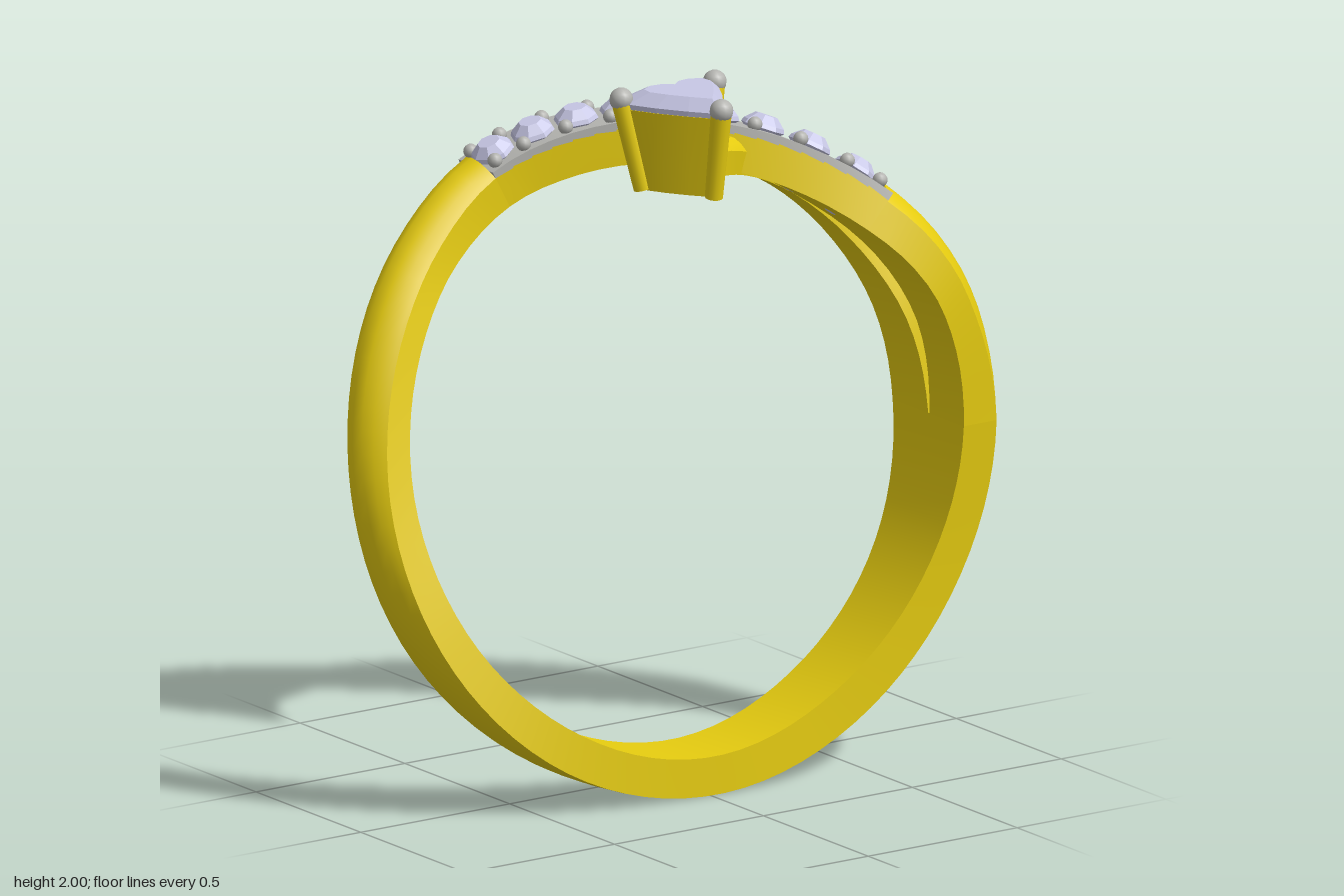
import * as THREE from 'three';
import { toCreasedNormals } from 'three/addons/utils/BufferGeometryUtils.js';

const gold = new THREE.MeshStandardMaterial({ color: 0xe6cc10 });
const silver = new THREE.MeshStandardMaterial({ color: 0xb4b4b0 });
const stone = new THREE.MeshStandardMaterial({ color: 0xc8c8e6, flatShading: true });
const CY = 0.94; // height of the ring's centre
const rad = THREE.MathUtils.degToRad;

// Stations: [angle, back z, front z, inner radius, outer radius, dome height]
const MAIN = [
  [0, 0.155, 0.32, 0.8, 0.94, 0.03], [20, 0.165, 0.33, 0.8, 0.94, 0.05],
  [30, 0.14, 0.325, 0.8, 0.94, 0.05], [40, 0.105, 0.295, 0.795, 0.94, 0.05],
  [48, 0.07, 0.25, 0.79, 0.937, 0.05], [65, -0.08, 0.105, 0.79, 0.94, 0.05],
  [78, -0.165, 0.02, 0.79, 0.94, 0.05], [90, -0.235, -0.07, 0.79, 0.94, 0.05],
  [105, -0.31, -0.145, 0.79, 0.94, 0.05], [118, -0.345, -0.18, 0.795, 0.945, 0.05],
  [135, -0.335, -0.165, 0.8, 0.94, 0.06], [150, -0.3, -0.12, 0.805, 0.94, 0.06],
  [180, -0.2, -0.02, 0.81, 0.94, 0.05], [210, -0.11, 0.1, 0.815, 0.94, 0.03],
  [240, -0.01, 0.205, 0.82, 0.94, 0.01], [270, 0.04, 0.25, 0.83, 0.94, 0],
  [300, 0.035, 0.255, 0.82, 0.94, 0], [330, 0.02, 0.28, 0.81, 0.94, 0.015],
  [360, -0.02, 0.32, 0.8, 0.94, 0.03],
];
const REAR = [
  [0, -0.02, 0.15, 0.8, 0.94, 0.03], [20, -0.05, 0.11, 0.8, 0.935, 0.05],
  [40, -0.1, 0.03, 0.795, 0.93, 0.05], [55, -0.115, 0, 0.79, 0.91, 0.04],
  [68, -0.09, 0.03, 0.785, 0.89, 0.04], [80, 0, 0.11, 0.785, 0.885, 0.03],
  [86, 0.05, 0.15, 0.785, 0.88, 0.03],
];

// Smooth interpolation between stations
function sample(table, a) {
  const last = table.length - 1;
  let k = 0;
  while (k < last - 1 && a > table[k + 1][0]) k++;
  const p = table[k], q = table[k + 1], h = q[0] - p[0], t = (a - p[0]) / h;
  const slope = (i, c) => {
    const u = table[Math.max(i - 1, 0)], v = table[Math.min(i + 1, last)];
    return (v[c] - u[c]) / (v[0] - u[0]);
  };
  return p.map((v, c) =>
    v * (1 + 2 * t) * (1 - t) ** 2 + q[c] * t * t * (3 - 2 * t) +
    h * (slope(k, c) * t * (1 - t) ** 2 + slope(k + 1, c) * t * t * (t - 1)));
}

// Skin over a row of closed loops, with optional fan caps
function loft(rings, capped = true) {
  const n = rings[0].length, pos = [], idx = [];
  rings.forEach(r => r.forEach(p => pos.push(p.x, p.y, p.z)));
  for (let k = 0; k < rings.length - 1; k++)
    for (let i = 0; i < n; i++) {
      const a = k * n + i, b = k * n + (i + 1) % n;
      idx.push(a, b, b + n, a, b + n, a + n);
    }
  if (capped) [0, rings.length - 1].forEach((k, end) => {
    const c = rings[k].reduce((s, p) => s.add(p), new THREE.Vector3()).divideScalar(n);
    const ci = pos.length / 3;
    pos.push(c.x, c.y, c.z);
    for (let i = 0; i < n; i++) {
      const a = k * n + i, b = k * n + (i + 1) % n;
      if (end) idx.push(ci, a, b); else idx.push(ci, b, a);
    }
  });
  const g = new THREE.BufferGeometry();
  g.setAttribute('position', new THREE.Float32BufferAttribute(pos, 3));
  g.setIndex(idx);
  return toCreasedNormals(g, 0.6);
}

const onRing = (a, r, z) =>
  new THREE.Vector3(r * Math.cos(rad(a)), CY + r * Math.sin(rad(a)), z);

// Domed band swept around the finger between two angles
function band(table, from, to, radii) {
  const steps = Math.ceil((to - from) / 4), rings = [], D = 8;
  for (let s = 0; s <= steps; s++) {
    const a = from + (to - from) * s / steps;
    let [, zb, zf, ri, ro, dome] = sample(table, a);
    if (radii) { ri = radii[0] ?? ri; ro = radii[1]; dome = 0; }
    const loop = [onRing(a, ri, zb), onRing(a, ri, zf)];
    for (let i = 0; i <= D; i++) {
      const u = Math.cos(Math.PI * i / D); // 1 at the front edge, -1 at the back
      loop.push(onRing(a, ro - dome * u * u, (zb + zf) / 2 + u * (zf - zb) / 2));
    }
    rings.push(loop);
  }
  return loft(rings);
}

// Heart outline at a height, scaled about the middle of the setting
const HALF = [[0, 0.3], [0.06, 0.225], [0.115, 0.145], [0.155, 0.07], [0.15, 0.02],
  [0.1, -0.01], [0.045, -0.005], [0, 0.03]];
const OUTLINE = [...HALF, ...HALF.slice(1, -1).reverse().map(([x, z]) => [-x, z])];
const heart = (y, s) => OUTLINE.map(([x, z]) => new THREE.Vector3(x * s, y, 0.17 + (z - 0.17) * s));

export function createModel() {
  const model = new THREE.Group();
  const add = (name, geo, mat, parent = model) => {
    const m = new THREE.Mesh(geo, mat);
    m.name = name;
    parent.add(m);
    return m;
  };
  const group = name => {
    const g = new THREE.Group();
    g.name = name;
    model.add(g);
    return g;
  };

  // Band: shank, front shoulder, rear shoulder and the lowered stone channel
  add('shank', band(MAIN, 118, 360), gold);
  add('frontShoulder', band(MAIN, 0, 48), gold);
  add('rearShoulder', band(REAR, 0, 86), gold);
  add('channel', band(MAIN, 48, 118, [null, 0.895]), gold);
  add('channelPlate', band(MAIN, 48, 118, [0.89, 0.915]), silver);

  // Row of small stones with beads along both edges
  const row = group('stoneRow'), N = 9, step = 70 / N;
  const gem = new THREE.LatheGeometry([[0, -0.05], [0.063, 0], [0.058, 0.012], [0.032, 0.036],
    [0, 0.036]].map(p => new THREE.Vector2(...p)), 8);
  const bead = new THREE.SphereGeometry(0.021, 10, 8);
  const hole = new THREE.CircleGeometry(0.018, 12).rotateX(Math.PI / 2);
  for (let i = 0; i <= N; i++) {
    const edge = THREE.MathUtils.clamp(48 + i * step, 50, 116);
    const [, eb, ef] = sample(MAIN, edge);
    [eb + 0.025, ef - 0.025].forEach(z => add('bead', bead, silver, row).position.copy(onRing(edge, 0.928, z)));
    if (i === N) break;
    const a = 48 + (i + 0.5) * step, [, zb, zf, ri] = sample(MAIN, a);
    const g = add('smallStone', gem, stone, row);
    g.position.copy(onRing(a, 0.921, (zb + zf) / 2));
    g.rotation.z = rad(a - 90);
    // Stone tip showing through the inside of the band
    const h = add('stoneHole', hole, stone, row);
    h.position.copy(onRing(a, ri - 0.003, (zb + zf) / 2));
    h.rotation.z = rad(a - 90);
  }

  // Hollow tapered setting
  const head = group('head');
  add('basket', loft([heart(1.71, 0.7), heart(1.94, 0.97), heart(1.94, 0.84),
    heart(1.71, 0.5), heart(1.71, 0.7)], false), gold, head);

  // Large heart-cut stone
  add('heartStone', loft([heart(1.8, 0.08), heart(1.94, 0.95), heart(1.955, 0.98),
    heart(1.99, 0.66)]), stone, head);

  // Prongs with rounded tips
  [[0, 0.3], [0.157, 0.045], [-0.157, 0.045]].forEach(([x, z]) => {
    const top = new THREE.Vector3(x, 1.965, z);
    const foot = new THREE.Vector3(x * 0.7, 1.71, 0.17 + (z - 0.17) * 0.72);
    const dir = top.clone().sub(foot);
    const post = add('prong', new THREE.CylinderGeometry(0.029, 0.025, dir.length(), 14), gold, head);
    post.position.copy(foot).addScaledVector(dir, 0.5);
    post.quaternion.setFromUnitVectors(new THREE.Vector3(0, 1, 0), dir.normalize());
    add('prongTip', new THREE.SphereGeometry(0.033, 14, 10), silver, head).position.copy(top);
  });

  return model;
}
